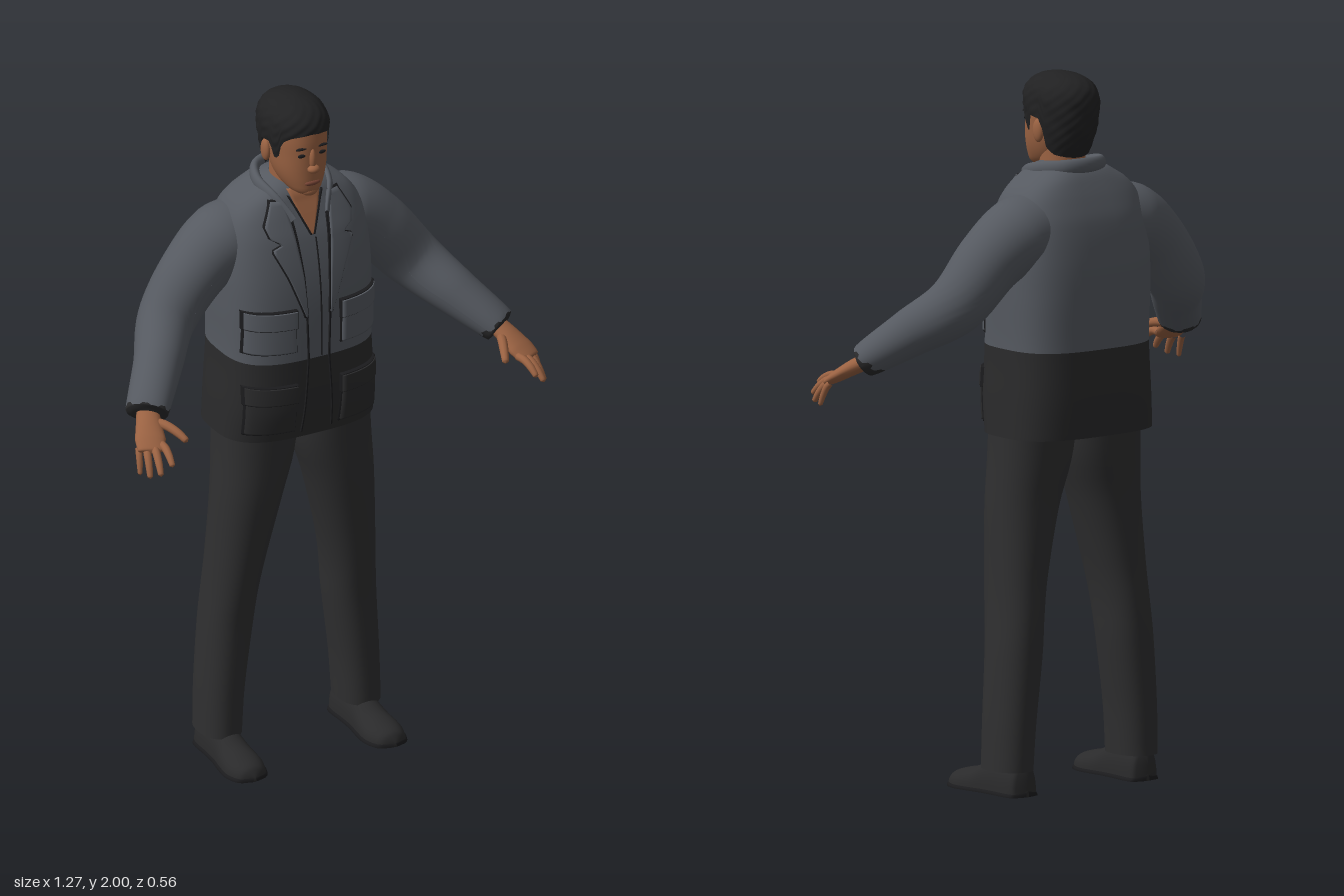
import * as THREE from 'three';
import { mergeVertices } from 'three/addons/utils/BufferGeometryUtils.js';

const material = (name, color, side = THREE.FrontSide) => {
  const m = new THREE.MeshStandardMaterial({ color, side });
  m.name = name;
  return m;
};

// Interpolates rows [key, a, b, ...] at k, smoothly or in straight lines
function at(rows, k, linear = false) {
  const n = rows.length - 1;
  let i = 0;
  while (i < n - 1 && k > rows[i + 1][0]) i++;
  const h = rows[i + 1][0] - rows[i][0];
  const t = THREE.MathUtils.clamp((k - rows[i][0]) / h, 0, 1);
  const slope = (j, c) => {
    const a = rows[Math.max(j - 1, 0)], b = rows[Math.min(j + 1, n)];
    return (b[c] - a[c]) / (b[0] - a[0]);
  };
  return rows[i].slice(1).map((p, c) => {
    const q = rows[i + 1][c + 1];
    if (linear) return p + (q - p) * t;
    return p + (q - p) * t * t * (3 - 2 * t)
      + h * t * (1 - t) * ((1 - t) * slope(i, c + 1) - t * slope(i + 1, c + 1));
  });
}

// Smooth surface over a grid; f(u, v) returns [x, y, z]
function grid(f, nu, nv) {
  const pos = [], idx = [], w = nu + 1;
  for (let j = 0; j <= nv; j++) for (let i = 0; i <= nu; i++) pos.push(...f(i / nu, j / nv));
  for (let j = 0; j < nv; j++) for (let i = 0; i < nu; i++) {
    const a = j * w + i;
    idx.push(a, a + w, a + 1, a + 1, a + w, a + w + 1);
  }
  let g = new THREE.BufferGeometry();
  g.setAttribute('position', new THREE.Float32BufferAttribute(pos, 3));
  g.setIndex(idx);
  g = mergeVertices(g, 1e-5);
  g.computeVertexNormals();
  return g;
}

const pw = (c, n) => Math.sign(c) * Math.abs(c) ** (2 / n);

// Upright body from rows [y, centre x, half width, front z, back z]
function loft(rows, n = 2.2, lo = rows[0][0], hi = rows.at(-1)[0], nu = 40, nv = 32, bump = 0) {
  return grid((u, v) => {
    const a = u * Math.PI * 2, s = Math.sin(a);
    const low = typeof lo === 'function' ? lo(s) : lo;
    const y = low + (hi - low) * v;
    const [cx, w, zf, zb] = at(rows, y);
    const k = 1 + bump * Math.sin(a * 11 + y * 60) * Math.sin(y * 150 + a * 4);
    return [cx + Math.max(w, 0) * k * pw(Math.cos(a), n), y, (zf + zb) / 2 + (zf - zb) / 2 * k * pw(s, n)];
  }, nu, nv);
}

// Limb along points [x, y, z, side radius, upright radius]
function sweep(pts, nu = 24, nv = 40, t0 = () => 0, t1 = () => 1) {
  const path = new THREE.CatmullRomCurve3(pts.map(p => new THREE.Vector3(p[0], p[1], p[2])));
  const radii = pts.map((p, i) => [i / (pts.length - 1), p[3], p[4]]);
  const up = new THREE.Vector3(0, 1, 0);
  return grid((u, v) => {
    const a = u * Math.PI * 2, s = Math.sin(a);
    const t = t0(a) + (t1(a) - t0(a)) * v;
    const [rs, ru] = at(radii, t, true);
    const T = path.getTangent(t), S = T.clone().cross(up).normalize(), N = S.clone().cross(T);
    return path.getPoint(t).addScaledVector(S, Math.cos(a) * rs).addScaledVector(N, s * ru).toArray();
  }, nu, nv);
}

const TORSO = [
  [1.0, 0, .236, .052, -.27], [1.1, 0, .231, .07, -.275], [1.245, 0, .222, .072, -.276],
  [1.4, 0, .224, .07, -.28], [1.5, 0, .223, .06, -.275], [1.6, 0, .213, .038, -.258],
  [1.66, 0, .195, .015, -.235], [1.7, 0, .162, -.002, -.215], [1.725, 0, .122, -.012, -.2],
  [1.745, 0, .09, -.03, -.18], [1.755, 0, .055, -.05, -.14]];

// Plate that follows the chest; rows [y, left x, right x] run downwards
function patch(rows, off, grow = 0) {
  const keyed = rows.map(([y, l, r]) => [-y, l - grow, r + grow]);
  const k0 = keyed[0][0] - grow, k1 = keyed.at(-1)[0] + grow, nu = 12, nv = 34;
  return grid((u, v) => {
    const uu = THREE.MathUtils.clamp((u * nu - 1) / (nu - 2), 0, 1);
    const vv = THREE.MathUtils.clamp((v * nv - 1) / (nv - 2), 0, 1);
    const k = k0 + (k1 - k0) * vv;
    const [l, r] = at(keyed, k, true);
    const x = l + (r - l) * uu, edge = u === 0 || u === 1 || v === 0 || v === 1;
    const [, w, zf, zb] = at(TORSO, -k);
    const z = (zf + zb) / 2 + (zf - zb) / 2 * Math.max(0, 1 - Math.abs(x / w) ** 3) ** (1 / 3);
    return [x, -k, z + (edge ? -.003 : off)];
  }, nu, nv);
}

function ball(x, y, z, rx, ry, rz) {
  return new THREE.SphereGeometry(1, 20, 14).scale(rx, ry, rz).translate(x, y, z);
}

function mirrored(geo) {
  const g = geo.clone().scale(-1, 1, 1), ix = g.index.array;
  for (let i = 0; i < ix.length; i += 3) [ix[i], ix[i + 1]] = [ix[i + 1], ix[i]];
  return g;
}

export function createModel() {
  const model = new THREE.Group();
  const skin = material('skin', 0x9a6242), lip = material('lips', 0x7a4636);
  const hair = material('hair', 0x212122, THREE.DoubleSide), dark = material('eyes and seams', 0x1b1b1d);
  const grey = material('grey cloth', 0x555960, THREE.DoubleSide);
  const black = material('black cloth', 0x2a2a2b, THREE.DoubleSide);
  const trouser = material('trouser cloth', 0x2f2f30), leather = material('shoe leather', 0x2a2a2b);
  const add = (name, geo, mat) => {
    const m = new THREE.Mesh(geo, mat);
    m.name = name;
    model.add(m);
  };
  const pair = (name, geo, mat) => {
    add(name + 'Left', geo, mat);
    add(name + 'Right', mirrored(geo), mat);
  };

  // Head and neck
  add('head', loft([[1.722, 0, .01, .01, -.02], [1.735, 0, .038, .034, -.06], [1.76, 0, .058, .04, -.11],
    [1.8, 0, .073, .041, -.14], [1.85, 0, .08, .04, -.165], [1.9, 0, .082, .037, -.175],
    [1.94, 0, .074, .026, -.165], [1.97, 0, .045, -.005, -.13], [1.985, 0, 0, -.06, -.06]], 2.15), skin);
  add('neck', loft([[1.6, 0, .07, -.02, -.16], [1.7, 0, .062, -.018, -.15], [1.82, 0, .06, -.02, -.145]]), skin);
  add('noseBridge', ball(0, 1.84, .036, .011, .034, .014), skin);
  add('noseTip', ball(0, 1.814, .044, .018, .012, .016), skin);
  add('chin', ball(0, 1.74, .022, .024, .016, .017), skin);
  add('mouth', ball(0, 1.769, .037, .024, .008, .008), lip);
  pair('ear', ball(.083, 1.84, -.08, .012, .033, .02), skin);
  pair('eye', ball(.031, 1.856, .0335, .013, .0055, .005), dark);
  pair('brow', ball(.032, 1.877, .033, .018, .0035, .006), dark);

  // Short hair with sideburns and a cut around the ears
  const hairline = [[-1, 1.765], [-.5, 1.775], [-.27, 1.79], [-.12, 1.875], [.22, 1.88], [.32, 1.835],
    [.48, 1.835], [.6, 1.89], [.8, 1.91], [1, 1.92]];
  add('hair', loft([[1.75, 0, .058, -.03, -.145], [1.8, 0, .078, .015, -.172], [1.85, 0, .087, .035, -.19],
    [1.9, 0, .092, .043, -.197], [1.94, 0, .089, .042, -.195], [1.97, 0, .072, .022, -.175],
    [1.99, 0, .042, -.015, -.135], [2, 0, 0, -.07, -.07]], 2.15, s => at(hairline, s, true)[0], 2, 72, 28, .018), hair);

  // Jacket body
  add('jacketUpper', loft(TORSO, 3, 1.245, 1.755, 56, 40), grey);
  add('jacketLower', loft(TORSO, 3, 1.0, 1.245, 56, 14), black);
  const half = [[.055, 1.655, .022, .006, .018], [.088, 1.71, -.03, .012, .024], [.098, 1.735, -.1, .014, .022],
    [.065, 1.745, -.17, .014, .022]];
  add('collar', sweep([...half, [0, 1.748, -.19, .014, .022],
    ...half.map(([x, ...r]) => [-x, ...r]).reverse()]), grey);

  // Open neck, shirt seams and lapels
  add('openNeck', patch([[1.735, -.05, .05], [1.69, -.035, .035], [1.61, -.002, .002]], .005), skin);
  pair('shirtCollarSeam', patch([[1.72, .05, .055], [1.69, .036, .041], [1.61, .002, .007]], .007), dark);
  pair('frontSeam', patch([[1.66, .052, .056], [1.5, .038, .042], [1.25, .03, .034], [1.02, .045, .049]], .006), dark);
  add('placketSeam', patch([[1.6, .008, .011], [1.25, .008, .011]], .004), dark);
  const lapel = [[1.71, .075, .105], [1.65, .06, .135], [1.615, .056, .125], [1.6, .055, .09],
    [1.585, .053, .125], [1.5, .043, .085], [1.38, .036, .04]];
  pair('lapelEdge', patch(lapel, .005, .004), dark);
  pair('lapel', patch(lapel, .01), grey);

  // Pockets with flaps
  for (const [name, top, bottom, mat] of [['chest', 1.4, 1.28, grey], ['lower', 1.17, 1.03, black]]) {
    const box = [[top, .075, .2], [bottom, .072, .203]];
    const flap = [[top + .005, .07, .205], [top - .045, .07, .205]];
    pair(name + 'PocketEdge', patch(box, .005, .004), dark);
    pair(name + 'Pocket', patch(box, .011), mat);
    pair(name + 'FlapEdge', patch(flap, .013, .003), dark);
    pair(name + 'Flap', patch(flap, .017), mat);
  }

  // Sleeves with dark undersides at the cuffs
  const arm = [[.08, 1.58, -.13, .1, .1], [.19, 1.565, -.13, .108, .108], [.28, 1.505, -.12, .095, .095],
    [.385, 1.385, -.095, .082, .084], [.465, 1.305, 0, .069, .068], [.555, 1.22, .1, .06, .046],
    [.558, 1.217, .104, .03, .02]];
  const cuff = a => .805 + .026 * Math.sin(a) + .008 * Math.sign(Math.sin(a * 7));
  pair('sleeve', sweep(arm, 48, 48, () => 0, cuff), grey);
  pair('cuff', sweep(arm, 48, 12, cuff), black);

  // Hands
  pair('palm', sweep([[.545, 1.225, .085, .03, .024], [.565, 1.2, .13, .036, .022],
    [.582, 1.175, .17, .043, .018], [.594, 1.155, .2, .038, .012], [.597, 1.15, .206, 0, 0]], 20, 24), skin);
  const finger = (name, a, b, r) => {
    const p = t => a.map((c, i) => c + (b[i] - c) * t + (i === 1 ? .012 * t * (1 - t) * 4 : 0));
    pair(name, sweep([[...p(0), r, r], [...p(.35), r, r], [...p(.7), r * .9, r * .9],
      [...p(.95), r * .7, r * .7], [...p(1), 0, 0]], 10, 16), skin);
  };
  finger('indexFinger', [.56, 1.165, .198], [.572, 1.135, .282], .0115);
  finger('middleFinger', [.582, 1.16, .193], [.602, 1.108, .27], .0115);
  finger('ringFinger', [.602, 1.155, .184], [.62, 1.092, .24], .011);
  finger('littleFinger', [.618, 1.155, .168], [.63, 1.088, .2], .0095);
  finger('thumb', [.545, 1.2, .125], [.5, 1.175, .235], .0135);

  // Trousers
  pair('trouserLeg', loft([[.07, .218, .06, -.03, -.195], [.2, .212, .063, -.03, -.198],
    [.4, .194, .07, -.024, -.199], [.5, .185, .071, -.012, -.195], [.6, .173, .077, 0, -.188],
    [.8, .143, .097, .02, -.186], [.93, .12, .113, .024, -.2], [1.08, .11, .118, .025, -.215]], 2.3), trouser);

  // Shoes, sliced from toe to heel with a flat bottom
  const slices = [[-.112, 0, .01], [-.105, .028, .03], [-.09, .045, .042], [-.05, .058, .054], [0, .055, .066],
    [.05, .048, .09], [.1, .046, .1], [.17, .045, .1], [.19, .032, .085], [.196, 0, .05]];
  const shoe = (grow, height) => grid((u, v) => {
    const a = u * Math.PI * 2, k = -.112 + .308 * v, [w, h] = at(slices, k);
    const y = Math.max(0, Math.sin(a)) ** .8 * Math.min(Math.max(h, 0), height);
    return [.217 - k * .03 + (Math.max(w, 0) + grow) * Math.cos(a), y, -k];
  }, 28, 36);
  pair('shoe', shoe(0, 1), leather);
  pair('sole', shoe(.005, .018), dark);
  return model;
}
